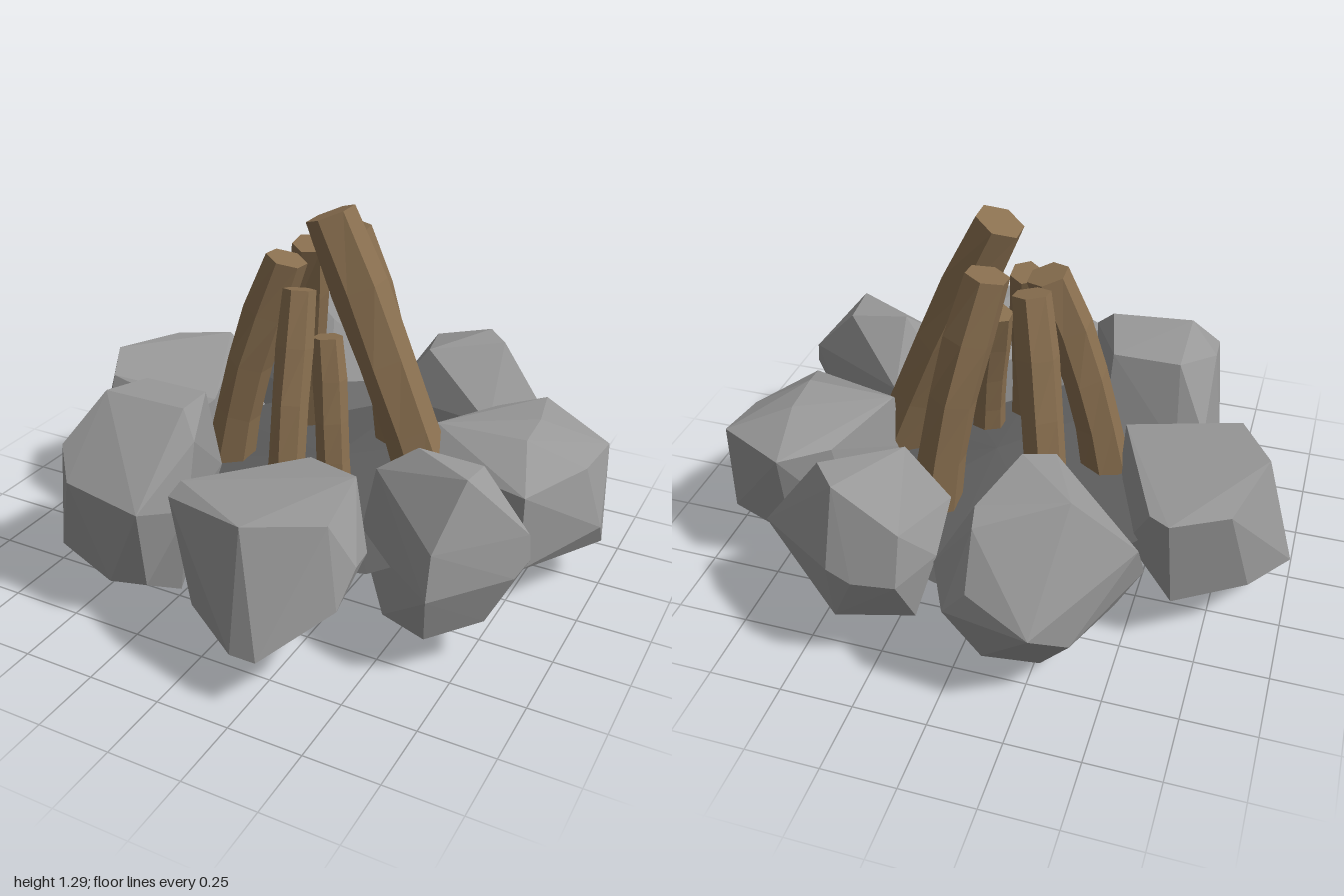
import * as THREE from 'three';
import { ConvexGeometry } from 'three/addons/geometries/ConvexGeometry.js';

const paint = (color, side = THREE.FrontSide) =>
  new THREE.MeshStandardMaterial({ color, side, flatShading: true, roughness: 1 });

// Faceted boulder: the hull of a crown, a waist and a base cross-section.
function rock(name, material, crown, waist, base) {
  const corners = [...crown, ...waist, ...base].map((p) => new THREE.Vector3(...p));
  const mesh = new THREE.Mesh(new ConvexGeometry(corners), material);
  mesh.name = name;
  return mesh;
}

// Six-sided log from foot to tip, bowed outward and slightly knobbly.
function log(name, material, foot, tip, radius, bow) {
  const a = new THREE.Vector3(...foot), b = new THREE.Vector3(...tip);
  const axis = b.clone().sub(a);
  const length = axis.length();
  const geometry = new THREE.CylinderGeometry(radius * 0.9, radius, length, 6, 4);
  const out = new THREE.Vector3(a.x - b.x, 0, a.z - b.z).normalize().multiplyScalar(bow);
  const turn = new THREE.Quaternion().setFromUnitVectors(new THREE.Vector3(0, 1, 0), axis.normalize());
  const middle = a.clone().lerp(b, 0.5);
  const pos = geometry.attributes.position;
  const v = new THREE.Vector3();
  for (let i = 0; i < pos.count; i++) {
    v.fromBufferAttribute(pos, i);
    const t = v.y / length + 0.5;
    const side = Math.cos(2 * Math.atan2(v.z, v.x));
    const knob = 1 + 0.06 * Math.sin(t * 9 + side * 3);
    v.x *= knob;
    v.z *= knob;
    v.applyQuaternion(turn).addScaledVector(out, Math.sin(Math.PI * t)).add(middle);
    pos.setXYZ(i, v.x, v.y, v.z);
  }
  geometry.computeVertexNormals();
  const mesh = new THREE.Mesh(geometry, material);
  mesh.name = name;
  return mesh;
}

export function createModel() {
  const model = new THREE.Group();
  model.name = 'campfire';
  const stone = paint(0x999999);
  const wood = paint(0x8a7050);

  // Ring of stones
  const stones = new THREE.Group();
  stones.name = 'stoneRing';
  stones.add(
    rock('rightStone', stone,
      [[-0.89, 0.57, -0.1], [-0.77, 0.56, 0.1], [-0.63, 0.54, -0.49], [-0.56, 0.53, -0.44], [-0.38, 0.52, 0.03], [-0.81, 0.54, -0.39]],
      [[-0.42, 0.48, 0.1], [-0.37, 0.35, 0.03]],
      [[-1, 0.17, -0.1], [-0.96, 0.17, -0.02], [-0.78, 0.2, 0.22], [-0.73, 0.14, 0.15], [-0.4, 0.24, 0.1], [-0.45, 0.2, -0.2], [-0.65, 0.2, -0.45], [-0.88, 0.2, -0.3]]),
    rock('backRightStone', stone,
      [[-0.36, 0.71, -0.66], [-0.15, 0.7, -0.46], [-0.08, 0.68, -0.72], [-0.24, 0.66, -0.38], [-0.1, 0.67, -0.81]],
      [[-0.56, 0.52, -0.6], [-0.57, 0.38, -0.53], [-0.3, 0.36, -0.91], [-0.1, 0.48, -0.89], [-0.02, 0.38, -0.88], [0.07, 0.4, -0.7], [-0.11, 0.48, -0.37], [-0.33, 0.45, -0.34]],
      [[-0.4, 0.26, -0.8], [-0.06, 0.14, -0.7], [-0.19, 0.01, -0.51], [-0.27, 0.01, -0.66], [-0.12, 0.15, -0.81], [-0.3, 0.13, -0.42], [-0.48, 0.2, -0.52]]),
    rock('backLeftStone', stone,
      [[0.38, 0.66, -0.74], [0.47, 0.66, -0.64], [0.24, 0.65, -0.47], [0.14, 0.57, -0.8]],
      [[0.14, 0.4, -0.85], [0.28, 0.4, -0.87], [0.37, 0.42, -0.85], [0.69, 0.36, -0.62], [0.5, 0.42, -0.43], [0.1, 0.45, -0.44], [0.07, 0.4, -0.67]],
      [[0.28, 0.1, -0.6], [0.5, 0.11, -0.62], [0.57, 0.16, -0.55], [0.28, 0.12, -0.49], [0.12, 0.2, -0.75], [0.37, 0.2, -0.82]]),
    rock('leftStone', stone,
      [[0.43, 0.56, -0.1], [0.75, 0.57, -0.1], [0.74, 0.57, -0.27], [0.68, 0.53, -0.53], [0.54, 0.52, -0.4], [0.82, 0.47, 0.1], [0.45, 0.47, 0]],
      [[0.96, 0.49, -0.36], [0.94, 0.48, -0.17], [1, 0.26, -0.19], [0.41, 0.35, -0.1]],
      [[0.99, 0.16, -0.27], [0.95, 0.17, -0.38], [0.7, 0.14, -0.45], [0.82, 0.2, 0.1], [0.46, 0.2, -0.02], [0.5, 0.16, -0.35]]),
    rock('frontLeftStone', stone,
      [[0.4, 0.58, 0.32], [0.52, 0.66, 0.27], [0.73, 0.66, 0.39], [0.73, 0.64, 0.25], [0.5, 0.46, 0.08]],
      [[0.9, 0.46, 0.28], [0.91, 0.38, 0.29], [0.68, 0.46, 0.53], [0.68, 0.31, 0.56], [0.88, 0.33, 0.34], [0.33, 0.3, 0.28], [0.34, 0.45, 0.2]],
      [[0.8, 0.16, 0.36], [0.66, 0.14, 0.51], [0.47, 0.1, 0.4], [0.4, 0.14, 0.3], [0.5, 0.19, 0.09], [0.78, 0.2, 0.22]]),
    rock('frontStone', stone,
      [[-0.15, 0.53, 0.6], [0.14, 0.53, 0.27], [0.36, 0.57, 0.38], [0.41, 0.56, 0.67], [0.19, 0.57, 0.81]],
      [[-0.16, 0.5, 0.66], [0.48, 0.41, 0.62], [0.46, 0.3, 0.71], [0.44, 0.36, 0.46]],
      [[0.2, 0.18, 0.9], [0.29, 0.18, 0.9], [-0.07, 0.14, 0.69], [0.2, 0.15, 0.6], [0.36, 0.22, 0.5], [0.15, 0.25, 0.29], [-0.08, 0.22, 0.58]]),
    rock('frontRightStone', stone,
      [[-0.52, 0.71, 0.47], [-0.23, 0.7, 0.45], [-0.52, 0.66, 0.24], [-0.28, 0.66, 0.24], [-0.62, 0.59, 0.45], [-0.16, 0.62, 0.5], [-0.61, 0.55, 0.61]],
      [[-0.53, 0.47, 0.7], [-0.23, 0.45, 0.74], [-0.15, 0.4, 0.57], [-0.63, 0.4, 0.2], [-0.54, 0.35, 0.16], [-0.27, 0.35, 0.17]],
      [[-0.67, 0.14, 0.45], [-0.62, 0.18, 0.64], [-0.4, 0.12, 0.68], [-0.25, 0.15, 0.68], [-0.24, 0.03, 0.5], [-0.39, 0.01, 0.5], [-0.31, 0, 0.36]]),
  );

  // Logs leaning together
  const logs = new THREE.Group();
  logs.name = 'logs';
  logs.add(
    log('tallLog', wood, [0.455, 0.31, -0.03], [0.055, 1.265, -0.025], 0.1, 0.012),
    log('rightLog', wood, [-0.31, 0.31, 0.05], [-0.1, 1.09, -0.01], 0.085, 0.025),
    log('frontLog', wood, [0.04, 0.31, 0.27], [0, 1.03, 0.085], 0.065, 0.02),
    log('backRightLog', wood, [-0.2, 0.31, -0.32], [-0.09, 1.1, -0.16], 0.075, 0.02),
    log('backLeftLog', wood, [0.2, 0.31, -0.33], [0.045, 1.16, -0.19], 0.088, 0.025),
    log('shortLog', wood, [0.155, 0.31, 0.13], [0.09, 0.87, 0.06], 0.06, 0.015),
  );

  // Low mound of ash between the stones
  const bed = new THREE.Mesh(new THREE.ConeGeometry(0.65, 0.07, 10, 1, true), paint(0x5c5c5c, THREE.DoubleSide));
  bed.name = 'ashBed';
  bed.position.set(0.07, 0.335, -0.04);

  model.add(stones, logs, bed);
  return model;
}
